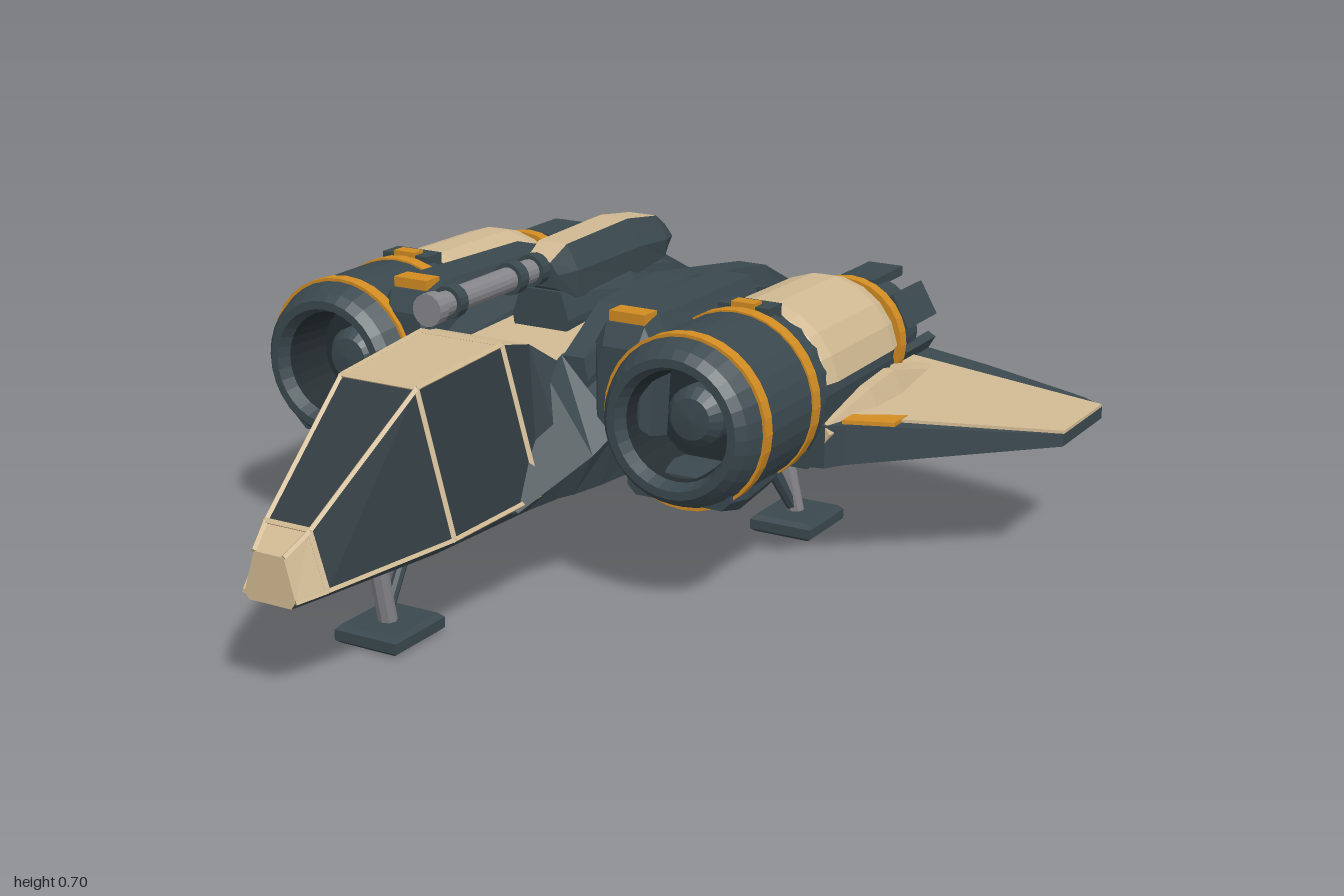
import * as THREE from 'three';

const mat = (name, color) => Object.assign(new THREE.MeshStandardMaterial({ color }), { name });

export function createModel() {
  const root = new THREE.Group();
  root.name = 'spaceship';
  const dark = mat('dark slate hull', 0x3a484e);
  const glass = mat('dark glass', 0x2f3a3f);
  const beige = mat('sand panels', 0xcfb891);
  const orange = mat('orange trim', 0xd08b22);
  const gray = mat('gray metal', 0x85858a);
  const glow = mat('exhaust lining', 0xd9823c);
  const black = mat('intake shadow', 0x252d31);

  const add = (name, geo, m, x = 0, y = 0, z = 0) => {
    let g = geo.index ? geo.toNonIndexed() : geo;
    g.computeVertexNormals(); // one normal per face
    const mesh = new THREE.Mesh(g, m);
    mesh.name = name;
    mesh.position.set(x, y, z);
    root.add(mesh);
    return mesh;
  };
  const box = (name, m, w, h, d, x, y, z) => add(name, new THREE.BoxGeometry(w, h, d), m, x, y, z);

  // Joins equal-length rings into a closed solid; pick(i, j) gives the material of each panel
  function loft(name, rings, mats, pick = () => 0) {
    const n = rings[0].length, groups = mats.map(() => []);
    let volume = 0;
    const a = new THREE.Vector3(), b = new THREE.Vector3(), c = new THREE.Vector3();
    const tri = (k, p, q, r) => {
      groups[k].push([p, q, r]);
      volume += a.set(...p).dot(b.set(...q).cross(c.set(...r)));
    };
    for (let i = 0; i < rings.length - 1; i++) for (let j = 0; j < n; j++) {
      const k = (j + 1) % n, A = rings[i], B = rings[i + 1];
      tri(pick(i, j), A[j], A[k], B[k]);
      tri(pick(i, j), A[j], B[k], B[j]);
    }
    const first = rings[0], last = rings[rings.length - 1];
    for (let j = 1; j < n - 1; j++) {
      tri(pick(-1, j), first[0], first[j + 1], first[j]);
      tri(pick(rings.length - 1, j), last[0], last[j], last[j + 1]);
    }
    const geo = new THREE.BufferGeometry(), pos = [];
    groups.forEach((tris, k) => {
      geo.addGroup(pos.length / 3, tris.length * 3, k);
      tris.forEach(([p, q, r]) => pos.push(...p, ...(volume < 0 ? [...r, ...q] : [...q, ...r])));
    });
    geo.setAttribute('position', new THREE.Float32BufferAttribute(pos, 3));
    return add(name, geo, mats.length > 1 ? mats : mats[0]);
  }
  // Six-sided section: bottom, widest and top half-widths with heights (edge 3 is the top)
  const hex = (z, wb, y0, wm, ym, wt, yt, cx = 0) =>
    [[-wb, y0], [wb, y0], [wm, ym], [wt, yt], [-wt, yt], [-wm, ym]].map(([x, y]) => [x + cx, y, z]);
  // Plate from an x/z outline with top and bottom height rules
  const slab = (name, m, outline, s, top, bottom) => loft(name, [bottom, top].map(f =>
    outline.map(([x, z]) => [x * s, f(x, z), z])), [m]);
  // Turned part along z, profile listed as [radius, z] from back to front
  const turn = (name, m, profile, x, y, segs = 28, start = 0, arc = Math.PI * 2) =>
    add(name, new THREE.LatheGeometry(profile.map(p => new THREE.Vector2(...p)), segs, start, arc)
      .rotateX(Math.PI / 2), m, x, y, 0);
  function beam(name, m, p, q, r0, r1 = r0, sides = 8) {
    const a = new THREE.Vector3(...p), b = new THREE.Vector3(...q), d = b.clone().sub(a);
    const mesh = add(name, new THREE.CylinderGeometry(r1, r0, d.length(), sides), m);
    mesh.position.copy(a).add(b).multiplyScalar(0.5);
    mesh.quaternion.setFromUnitVectors(new THREE.Vector3(0, 1, 0), d.normalize());
  }

  // Cockpit
  const cab = [
    hex(0.93, 0.05, 0.2, 0.06, 0.215, 0.035, 0.3), hex(0.87, 0.07, 0.205, 0.09, 0.225, 0.052, 0.338),
    hex(0.57, 0.13, 0.212, 0.175, 0.25, 0.09, 0.545), hex(0.28, 0.16, 0.22, 0.19, 0.26, 0.1, 0.565),
    hex(0.2, 0.18, 0.225, 0.21, 0.29, 0.115, 0.55), hex(0.1, 0.18, 0.23, 0.23, 0.32, 0.125, 0.49)];
  loft('cockpit', cab, [dark, beige, glass], (i, j) => {
    if (i === -1) return 1;
    if (j < 2 || j === 5) return 0;
    if (i === 0) return 1;
    return j === 3 ? (i === 1 ? 2 : 1) : (i < 4 ? 2 : 0);
  });
  for (const e of [2, 3, 4, 5])
    for (let i = 0; i < 3; i++) beam('windowFrame', beige, cab[i][e], cab[i + 1][e], 0.006, 0.006, 4);
  for (const i of [1, 2, 3])
    for (const e of [2, 3, 4]) beam('windowFrame', beige, cab[i][e], cab[i][e + 1], 0.007, 0.007, 4);

  // Main hull
  loft('hull', [
    hex(0.36, 0.1, 0.22, 0.19, 0.245, 0.15, 0.26), hex(0.16, 0.2, 0.228, 0.245, 0.32, 0.13, 0.48),
    hex(0.08, 0.22, 0.23, 0.26, 0.36, 0.12, 0.5), hex(-0.2, 0.26, 0.235, 0.29, 0.38, 0.15, 0.54),
    hex(-0.6, 0.24, 0.25, 0.26, 0.38, 0.17, 0.52), hex(-0.88, 0.16, 0.28, 0.19, 0.34, 0.13, 0.42)],
  [dark, beige], (i, j) => (j === 3 && (i === 1 || i === 2) ? 1 : 0));
  const tailTop = (x, z) => 0.52 + (z + 0.6) * 0.357;
  slab('tailStripe', beige, [[-0.022, -0.88], [0.022, -0.88], [0.042, -0.7], [0.02, -0.62], [-0.02, -0.62], [-0.042, -0.7]],
    1, (x, z) => tailTop(x, z) + 0.008, tailTop);

  // Gun turret
  loft('turretBody', [
    hex(-0.53, 0.035, 0.6, 0.045, 0.625, 0.025, 0.65), hex(-0.47, 0.06, 0.59, 0.065, 0.63, 0.035, 0.682),
    hex(-0.34, 0.065, 0.58, 0.068, 0.64, 0.035, 0.7), hex(-0.08, 0.065, 0.58, 0.065, 0.64, 0.035, 0.694),
    hex(-0.02, 0.045, 0.61, 0.05, 0.64, 0.03, 0.665)], [dark, beige], (i, j) => (j === 3 && i >= 0 && i < 4 ? 1 : 0));
  loft('turretBase', [hex(-0.55, 0.04, 0.48, 0.05, 0.52, 0.04, 0.56), hex(-0.3, 0.09, 0.5, 0.09, 0.56, 0.06, 0.6),
    hex(-0.03, 0.06, 0.48, 0.07, 0.54, 0.05, 0.6)], [dark]);
  box('turretMarker', orange, 0.02, 0.05, 0.08, -0.057, 0.66, -0.37);
  beam('gunBarrel', gray, [0, 0.65, -0.03], [0, 0.65, 0.4], 0.026, 0.026, 16);
  for (const [z, d] of [[0.0, 0.03], [0.085, 0.03], [0.315, 0.03]])
    beam('barrelCollar', dark, [0, 0.65, z - d / 2], [0, 0.65, z + d / 2], 0.035, 0.035, 16);
  beam('muzzle', gray, [0, 0.65, 0.37], [0, 0.65, 0.4], 0.034, 0.034, 16);

  // Front landing gear
  const foot = (x, z) => loft('landingFoot', [[0, 0.065], [0.008, 0.075], [0.03, 0.075], [0.04, 0.065]].map(([y, w]) =>
    [[-1, -1], [1, -1], [1, 1], [-1, 1]].map(([a, b]) => [x + a * w, y, z + b * (w + 0.012)])), [dark]);
  foot(0, 0.545);
  beam('frontStrut', gray, [0, 0.03, 0.55], [0, 0.23, 0.6], 0.02);
  beam('frontBrace', dark, [0, 0.06, 0.55], [0, 0.23, 0.45], 0.012);

  for (const s of [1, -1]) {
    const ex = 0.43 * s, ey = 0.41;

    // Dorsal rail, shoulder block and ventral fin
    loft('dorsalRail', [
      hex(-0.91, 0.04, 0.32, 0.046, 0.38, 0.03, 0.45, 0.145 * s), hex(-0.74, 0.045, 0.4, 0.05, 0.48, 0.035, 0.53, 0.145 * s),
      hex(-0.35, 0.05, 0.44, 0.06, 0.55, 0.04, 0.585, 0.14 * s), hex(-0.1, 0.04, 0.44, 0.05, 0.54, 0.035, 0.575, 0.14 * s),
      hex(0.08, 0.03, 0.4, 0.035, 0.45, 0.025, 0.5, 0.15 * s)], [dark]);
    loft('shoulderBlock', [
      hex(-0.47, 0.04, 0.38, 0.05, 0.5, 0.035, 0.55, 0.25 * s), hex(-0.42, 0.06, 0.32, 0.07, 0.53, 0.045, 0.59, 0.26 * s),
      hex(0.02, 0.07, 0.3, 0.08, 0.54, 0.05, 0.6, 0.27 * s), hex(0.075, 0.06, 0.32, 0.07, 0.54, 0.045, 0.585, 0.27 * s),
      hex(0.1, 0.05, 0.34, 0.05, 0.5, 0.04, 0.54, 0.27 * s)], [dark]);
    box('shoulderMarker', orange, 0.085, 0.03, 0.05, 0.27 * s, 0.594, 0.044);
    loft('ventralFin', [0.18, 0.202].map(x => [[0.31, -0.45], [0.24, -0.5], [0.18, -0.66], [0.195, -0.89], [0.25, -0.935],
      [0.3, -0.86]].map(([y, z]) => [x * s, y, z])), [dark]);

    // Engine nacelle
    turn('intakeDrum', dark, [[0.165, -0.2], [0.183, -0.17], [0.183, 0.105], [0.165, 0.15], [0.148, 0.17],
      [0.13, 0.17], [0.118, 0.14]], ex, ey, 32);
    turn('intakeThroat', black, [[0.108, 0.0], [0.118, 0.14]].reverse(), ex, ey, 32);
    turn('intakeFan', black, [[0.11, 0.0], [0.11, 0.02], [0.062, 0.02]], ex, ey, 24);
    turn('intakeHub', dark, [[0.064, 0.0], [0.064, 0.06], [0.045, 0.085], [0, 0.09]], ex, ey, 20);
    for (const [z0, z1] of [[0.082, 0.112], [-0.138, -0.105]])
      turn('nacelleRing', orange, [[0.17, z0], [0.187, z0], [0.187, z1], [0.17, z1]], ex, ey, 32);
    turn('nacelleCore', dark, [[0.1, -0.66], [0.13, -0.63], [0.166, -0.54], [0.17, -0.17]], ex, ey, 20);
    turn('nacelleCover', beige, [[0.14, -0.6], [0.165, -0.575], [0.176, -0.53], [0.18, -0.24], [0.17, -0.21], [0.16, -0.2]],
      ex, ey, 9, Math.PI / 2 + 0.15, Math.PI - 0.3);
    turn('exhaustRing', orange, [[0.12, -0.675], [0.142, -0.675], [0.142, -0.645], [0.12, -0.645]], ex, ey, 28);
    box('coverLatch', dark, 0.12, 0.03, 0.06, ex, 0.585, -0.17);
    box('latchMarker', orange, 0.055, 0.03, 0.035, ex, 0.592, -0.155);

    // Exhaust nozzle with petals
    turn('nozzle', dark, [[0.1, -0.79], [0.118, -0.79], [0.125, -0.68], [0.13, -0.6]], ex, ey, 24);
    turn('nozzleLining', glow, [[0.05, -0.66], [0.085, -0.67], [0.1, -0.79]], ex, ey, 24);
    turn('nozzleCore', black, [[0.07, -0.665], [0, -0.665]].reverse(), ex, ey, 24);
    for (let k = 0; k < 6; k++) {
      const t = Math.PI / 2 + k * Math.PI / 3;
      const petal = add('nozzlePetal', new THREE.BoxGeometry(0.022, 0.085, 0.16), dark,
        ex + Math.cos(t) * 0.118, ey + Math.sin(t) * 0.118, -0.785);
      petal.rotation.z = t;
    }

    // Wing with sand top panel and root fairings
    const top = x => 0.345 - (x - 0.62) * 0.105;
    const low = x => 0.255 + (x - 0.62) * 0.06;
    slab('wing', dark, [[0.24, -0.18], [0.6, -0.2], [0.63, -0.24], [1, -0.54], [1, -0.78], [0.95, -0.81], [0.7, -0.855],
      [0.53, -0.87], [0.24, -0.79]], s, top, low);
    slab('wingPanel', beige, [[0.26, -0.77], [1, -0.775], [1, -0.545], [0.63, -0.29], [0.26, -0.29]], s, x => top(x) + 0.007, top);
    slab('wingMarker', orange, [[0.62, -0.24], [0.71, -0.308], [0.71, -0.375], [0.62, -0.29]], s, x => top(x) + 0.009, top);
    loft('wingRootFairing', [
      hex(-0.76, 0.02, 0.33, 0.025, 0.34, 0.015, 0.35, 0.59 * s), hex(-0.5, 0.04, 0.3, 0.055, 0.34, 0.03, 0.4, 0.59 * s),
      hex(-0.38, 0.04, 0.3, 0.05, 0.34, 0.03, 0.39, 0.59 * s), hex(-0.2, 0.01, 0.31, 0.02, 0.33, 0.01, 0.345, 0.59 * s)], [beige]);
    loft('nacelleSaddle', [
      hex(-0.8, 0.05, 0.26, 0.08, 0.3, 0.06, 0.35, ex), hex(-0.6, 0.12, 0.245, 0.15, 0.3, 0.14, 0.4, ex),
      hex(-0.2, 0.13, 0.245, 0.16, 0.3, 0.165, 0.44, ex)], [dark]);

    // Chin block under the intake
    loft('chinBlock', [
      hex(-0.09, 0.1, 0.235, 0.12, 0.26, 0.13, 0.31, 0.425 * s), hex(0.06, 0.11, 0.228, 0.13, 0.255, 0.13, 0.31, 0.425 * s),
      hex(0.12, 0.1, 0.24, 0.12, 0.26, 0.12, 0.3, 0.425 * s)], [dark]);

    // Rear landing gear
    foot(0.405 * s, -0.485);
    beam('rearStrut', gray, [0.4 * s, 0.03, -0.49], [0.36 * s, 0.26, -0.45], 0.02, 0.026);
    beam('rearBrace', dark, [0.395 * s, 0.05, -0.48], [0.34 * s, 0.26, -0.36], 0.014, 0.018);
    box('gearHousing', dark, 0.14, 0.05, 0.2, 0.37 * s, 0.235, -0.42);
  }
  return root;
}
